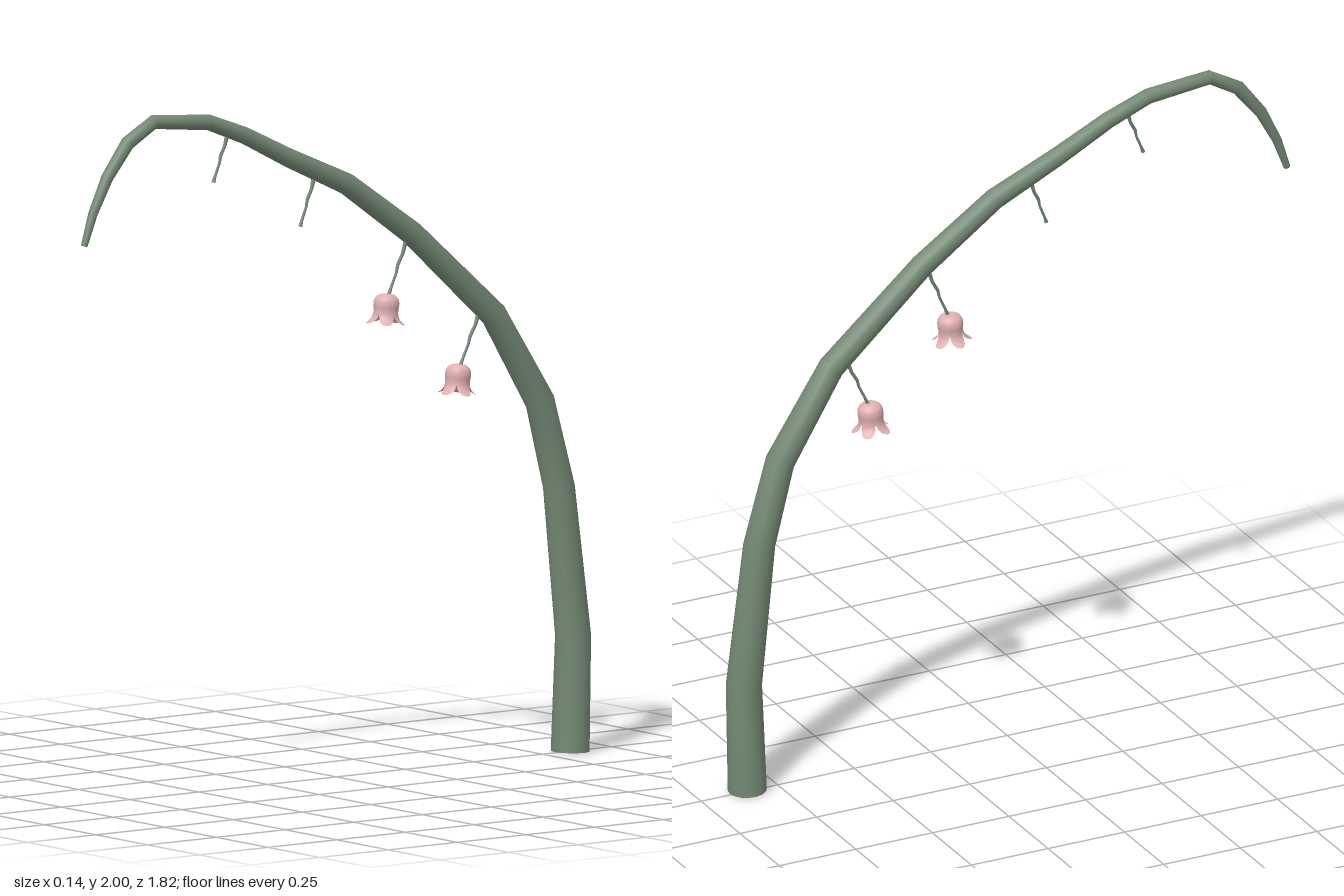
import * as THREE from 'three';
import { ParametricGeometry } from 'three/addons/geometries/ParametricGeometry.js';

const green = new THREE.MeshStandardMaterial({ color: 0x738873 });
const pink = new THREE.MeshStandardMaterial({ color: 0xe0b0b2, side: THREE.DoubleSide });

// Tapered, capped tube through stations [x, y, z, radius] that bend mainly in the yz plane
function taperedTube(stations, sides) {
  const positions = [], index = [];
  const points = stations.map(([x, y, z]) => new THREE.Vector3(x, y, z));
  const last = points.length - 1;
  const rings = points.map((p, i) => {
    const tangent = points[Math.min(i + 1, last)].clone().sub(points[Math.max(i - 1, 0)]).normalize();
    const up = tangent.clone().cross(new THREE.Vector3(1, 0, 0)).normalize();
    const side = up.clone().cross(tangent);
    return Array.from({ length: sides }, (_, j) => {
      const a = (j / sides) * Math.PI * 2, r = stations[i][3];
      return p.clone().addScaledVector(side, Math.cos(a) * r).addScaledVector(up, Math.sin(a) * r);
    });
  });
  const push = (v) => positions.push(v.x, v.y, v.z) / 3 - 1;
  rings.forEach((ring) => ring.forEach(push));
  for (let i = 0; i < last; i++) {
    for (let j = 0; j < sides; j++) {
      const a = i * sides + j, b = i * sides + (j + 1) % sides;
      index.push(a, b, a + sides, b, b + sides, a + sides);
    }
  }
  // End caps with their own vertices, so their edges stay sharp
  for (const end of [0, last]) {
    const centre = push(points[end]);
    rings[end].forEach(push);
    for (let j = 0; j < sides; j++) {
      const a = centre + 1 + j, b = centre + 1 + (j + 1) % sides;
      index.push(centre, ...(end ? [a, b] : [b, a]));
    }
  }
  const geometry = new THREE.BufferGeometry();
  geometry.setAttribute('position', new THREE.Float32BufferAttribute(positions, 3));
  geometry.setIndex(index);
  geometry.computeVertexNormals();
  return geometry;
}

// Bell profile as radius and height below the crown; the rim is cut into curled petals
const bellProfile = new THREE.CatmullRomCurve3([
  [0.001, 0], [0.02, -0.002], [0.034, -0.013], [0.038, -0.03], [0.036, -0.05],
  [0.038, -0.066], [0.047, -0.08], [0.06, -0.089],
].map(([r, y]) => new THREE.Vector3(r, y, 0)));

function bellGeometry(petals) {
  const p = new THREE.Vector3();
  return new ParametricGeometry((u, v, target) => {
    const a = u * Math.PI * 2;
    const petal = Math.pow(Math.abs(Math.cos(a * petals / 2)), 0.7);
    bellProfile.getPointAt(v * (0.66 + 0.34 * petal), p);
    target.set(Math.sin(a) * p.x, p.y, Math.cos(a) * p.x);
  }, 60, 20);
}

export function createModel() {
  const model = new THREE.Group();
  const add = (name, geometry, material) => {
    const mesh = new THREE.Mesh(geometry, material);
    mesh.name = name;
    model.add(mesh);
    return mesh;
  };

  // Arching main stem, from the ground to the drooping tip
  add('mainStem', taperedTube([
    [0.008, 0, -0.845, 0.057],
    [0.006, 0.34, -0.857, 0.053],
    [0, 0.78, -0.81, 0.047],
    [-0.005, 1.035, -0.745, 0.044],
    [-0.01, 1.305, -0.58, 0.039],
    [-0.013, 1.57, -0.285, 0.035],
    [-0.015, 1.735, -0.05, 0.032],
    [-0.016, 1.83, 0.16, 0.028],
    [-0.017, 1.91, 0.32, 0.025],
    [-0.018, 1.96, 0.45, 0.023],
    [-0.019, 1.979, 0.65, 0.021],
    [-0.019, 1.925, 0.745, 0.021],
    [-0.018, 1.83, 0.82, 0.018],
    [-0.017, 1.73, 0.872, 0.014],
    [-0.016, 1.637, 0.905, 0.01],
  ], 16), green);

  // Hanging stalks: [start y, start z, end y, end z, carries a flower]
  const stalks = [
    [1.92, 0.385, 1.783, 0.436, false],
    [1.765, 0.07, 1.625, 0.12, false],
    [1.55, -0.265, 1.395, -0.202, true],
    [1.315, -0.53, 1.165, -0.463, true],
  ];
  const bell = bellGeometry(5);
  stalks.forEach(([y0, z0, y1, z1, flower], i) => {
    const at = (t, bend, r) => [-0.015, y0 + (y1 - y0) * t, z0 + (z1 - z0) * t + bend, r];
    add(`flowerStalk${i + 1}`, taperedTube([
      at(0, 0, 0.007), at(0.25, -0.003, 0.005), at(0.45, 0.002, 0.005),
      at(0.6, -0.002, 0.004), at(0.85, 0, 0.004), at(1, 0, 0.006),
    ], 8), green);
    if (!flower) return;
    const mesh = add(`bellFlower${i + 1}`, bell, pink);
    mesh.position.set(-0.018, y1 + 0.004, z1 + 0.004);
    mesh.rotation.set(-0.08, i * 0.5, 0);
  });
  return model;
}
